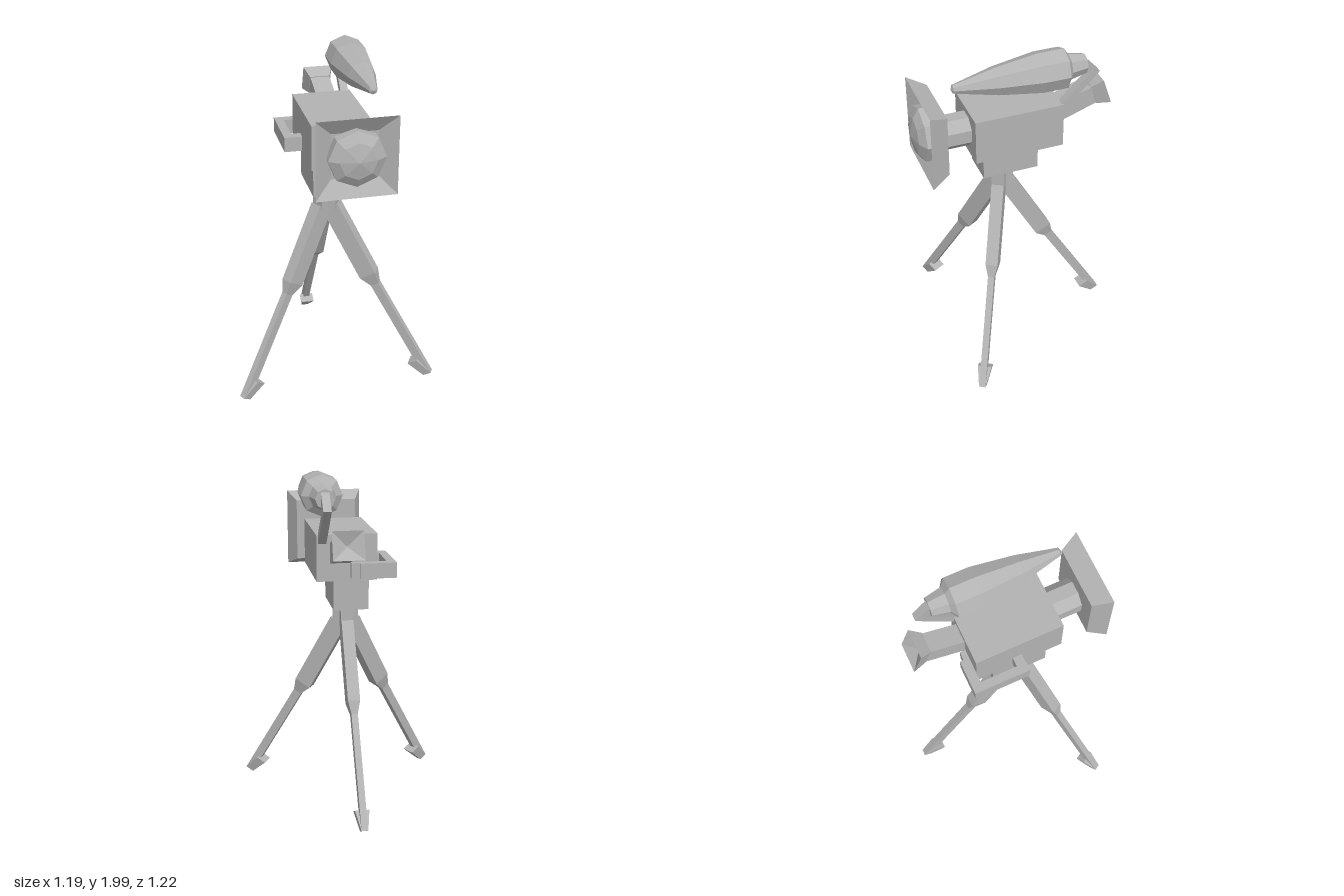
import * as THREE from 'three';

const grey = new THREE.MeshStandardMaterial({ color: 0xb3b3b3, flatShading: true });
grey.name = 'plain grey';

function part(name, geometry, parent) {
  const mesh = new THREE.Mesh(geometry, grey);
  mesh.name = name;
  parent.add(mesh);
  return mesh;
}

// box given by its limits on each axis
function block(name, parent, [x0, x1], [y0, y1], [z0, z1]) {
  const mesh = part(name, new THREE.BoxGeometry(x1 - x0, y1 - y0, z1 - z0), parent);
  mesh.position.set((x0 + x1) / 2, (y0 + y1) / 2, (z0 + z1) / 2);
  return mesh;
}

// closed skin through rectangles [halfWidth, y0, y1, z]
function loft(sections) {
  const rings = sections.map(([w, y0, y1, z]) => [[-w, y0, z], [w, y0, z], [w, y1, z], [-w, y1, z]]);
  const out = [];
  const quad = (a, b, c, d) => out.push(...a, ...b, ...c, ...a, ...c, ...d);
  for (let k = 0; k < rings.length - 1; k++) {
    const r = rings[k], s = rings[k + 1];
    for (let i = 0; i < 4; i++) {
      const j = (i + 1) % 4;
      quad(r[i], r[j], s[j], s[i]);
    }
  }
  const first = rings[0], last = rings[rings.length - 1];
  quad(first[3], first[2], first[1], first[0]);
  quad(last[0], last[1], last[2], last[3]);
  const g = new THREE.BufferGeometry();
  g.setAttribute('position', new THREE.Float32BufferAttribute(out, 3));
  g.computeVertexNormals();
  return g;
}

// eight-sided turned shape along z from [radius, z] pairs
function turned(profile) {
  return new THREE.LatheGeometry(profile.map(([r, z]) => new THREE.Vector2(r, z)), 8).rotateX(Math.PI / 2);
}

export function createModel() {
  const model = new THREE.Group();
  model.name = 'tripodCamera';

  // camera body and its mounting block
  block('body', model, [-0.132, 0.212], [1.4, 1.665], [-0.235, 0.28]);
  block('mountBlock', model, [-0.105, 0.1], [1.2, 1.4], [-0.13, 0.2]);

  // lens tube, hood and glass
  const tube = new THREE.CylinderGeometry(0.0985, 0.0985, 0.22, 8).rotateY(Math.PI / 8).rotateX(Math.PI / 2);
  part('lensTube', tube, model).position.set(0.056, 1.54, 0.36);
  part('lensHood', loft([
    [0.181, -0.181, 0.181, 0.443],
    [0.227, -0.227, 0.227, 0.55],
    [0.13, -0.13, 0.13, 0.49],
  ]), model).position.set(0.057, 1.568, 0);
  part('lensGlass', turned([[0, 0.47], [0.16, 0.47], [0.16, 0.55], [0.105, 0.583], [0, 0.605]]), model)
    .position.set(0.057, 1.568, 0);

  // tilted eyepiece with a hollow cup
  const eyepiece = new THREE.Group();
  eyepiece.name = 'eyepiece';
  eyepiece.position.set(0.078, 1.66, -0.518);
  eyepiece.rotation.x = Math.PI + 0.332;
  model.add(eyepiece);
  part('eyepieceTube', loft([[0.058, -0.056, 0.056, -0.36], [0.058, -0.056, 0.056, -0.06]]), eyepiece);
  part('eyepieceCup', loft([
    [0.06, -0.06, 0.06, -0.075],
    [0.0875, -0.08, 0.08, 0],
    [0.004, -0.004, 0.004, -0.045],
  ]), eyepiece);

  // side handle
  const hy = [1.42, 1.507];
  block('handleBackBar', model, [-0.235, -0.03], hy, [-0.29, -0.235]);
  block('handleGrip', model, [-0.235, -0.185], hy, [-0.235, -0.02]);
  block('handleFrontBar', model, [-0.235, -0.13], hy, [-0.02, 0.035]);
  block('handleBracket', model, [-0.03, 0.02], hy, [-0.268, -0.23]);

  // microphone on a bent arm
  part('microphone', turned([
    [0, -0.36], [0.055, -0.36], [0.075, -0.262], [0.116, -0.235],
    [0.116, -0.09], [0.08, 0.154], [0.024, 0.39], [0, 0.402],
  ]), model).position.set(0.179, 1.885, 0);
  const armShape = new THREE.Shape([
    [0.22, 1.6], [0.445, 1.83], [0.36, 1.92], [0.33, 1.885], [0.385, 1.825], [0.22, 1.66],
  ].map(([z, y]) => new THREE.Vector2(z, y)));
  const arm = new THREE.ExtrudeGeometry(armShape, { depth: 0.046, bevelEnabled: false });
  part('microphoneArm', arm.rotateY(Math.PI / 2), model).position.x = 0.156;

  // tripod hub and three legs
  const tripod = new THREE.Group();
  tripod.name = 'tripod';
  tripod.position.z = 0.066;
  model.add(tripod);
  part('hub', new THREE.CylinderGeometry(0.047, 0.047, 0.145, 8), tripod).position.y = 1.1275;

  for (const [name, angle] of [['backLeg', Math.PI], ['leftLeg', Math.PI / 3], ['rightLeg', -Math.PI / 3]]) {
    const side = new THREE.Group();
    side.name = name;
    side.rotation.y = angle;
    tripod.add(side);
    block('hubLobe', side, [-0.038, 0.038], [1.08, 1.2], [0, 0.068]);
    const leg = new THREE.Group();
    leg.name = name + 'Shaft';
    leg.position.set(0, 1.105, 0.081);
    leg.rotation.x = 1.063;
    side.add(leg);
    part('legTube', loft([
      [0.036, -0.105, 0, 0],
      [0.036, -0.105, 0, 0.48],
      [0.019, -0.073, -0.02, 0.555],
      [0.019, -0.051, 0, 1.22],
    ]), leg);
    part('foot', loft([[0.042, -0.097, -0.035, 1.11], [0.02, -0.052, 0, 1.228]]), leg);
  }
  return model;
}
